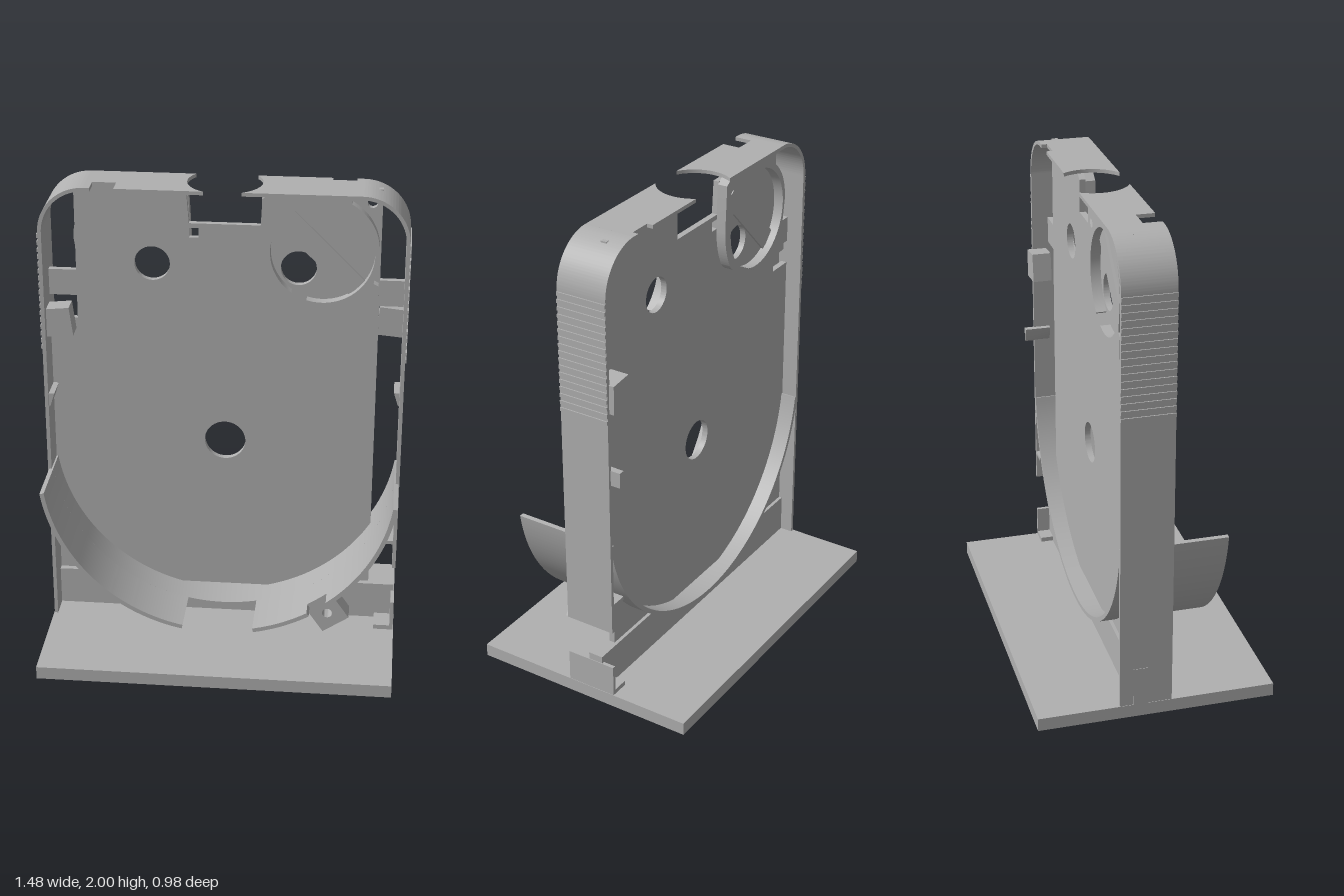
import * as THREE from 'three';
import { toCreasedNormals } from 'three/addons/utils/BufferGeometryUtils.js';

const BACK = -0.155, FRONT = 0.06;           // depth of the enclosure
const P0 = -0.086, P1 = -0.061;              // depth of the centre panel
const PIVOT = (P0 + P1) / 2;
const CY = 0.87, R = 0.737;                  // drum centre height and radius

export function createModel() {
  const model = new THREE.Group();
  model.name = 'openEnclosureOnStand';
  const plastic = new THREE.MeshStandardMaterial({ color: 0xb0b0b0 });
  plastic.name = 'grey plastic';

  const add = (name, geo, parent = model) => {
    const mesh = new THREE.Mesh(geo, plastic);
    mesh.name = name;
    parent.add(mesh);
    return mesh;
  };
  const box = (name, x0, x1, y0, y1, z0, z1, parent) => {
    const g = new THREE.BoxGeometry(x1 - x0, y1 - y0, z1 - z0);
    g.translate((x0 + x1) / 2, (y0 + y1) / 2, (z0 + z1) / 2);
    return add(name, g, parent);
  };
  const poly = (pts) => new THREE.Shape(pts.map(([x, y]) => new THREE.Vector2(x, y)));
  const hole = (x, y, r) => new THREE.Path().absarc(x, y, r, 0, Math.PI * 2, true);
  const slab = (name, shape, z0, z1, parent) => {
    const g = new THREE.ExtrudeGeometry(shape, { depth: z1 - z0, bevelEnabled: false, curveSegments: 40 });
    g.translate(0, 0, z0);
    return add(name, toCreasedNormals(g, 0.5), parent);
  };
  const ringSector = (x, y, r0, r1, a0, a1) => {
    const s = new THREE.Shape();
    s.absarc(x, y, r1, a0, a1, false);
    s.absarc(x, y, r0, a1, a0, true);
    s.closePath();
    return s;
  };

  // Base plate and the upright that carries the panel
  box('basePlate', -0.735, 0.735, 0, 0.055, -0.49, 0.49);
  const a = Math.asin((0.22 - CY) / R);
  const upright = new THREE.Shape();
  upright.moveTo(-0.735, 0.055);
  upright.lineTo(0.73, 0.055);
  upright.lineTo(0.73, 0.22);
  upright.lineTo(R * Math.cos(a), 0.22);
  upright.absarc(0, CY, R - 0.005, a, -Math.PI - a, true);
  upright.lineTo(-0.735, 0.22);
  upright.closePath();
  slab('upright', upright, -0.1, -0.037);
  box('endPlate', 0.718, 0.733, 0.055, 0.19, BACK, FRONT);
  box('endFoot', 0.65, 0.72, 0.055, 0.075, BACK, FRONT);

  // Centre panel with its openings
  const panel = poly([
    [-0.725, 0.2], [0.62, 0.2], [0.62, 1.99], [0.2, 1.99], [0.145, 1.96], [0.145, 1.825],
    [-0.145, 1.825], [-0.155, 1.96], [-0.195, 1.96], [-0.195, 1.99], [-0.605, 1.99],
    [-0.605, 1.4], [-0.725, 1.4],
  ]);
  panel.holes.push(hole(0, CY, 0.085), hole(-0.295, 1.65, 0.072), hole(0.295, 1.65, 0.072),
    hole(0.58, 1.933, 0.02));
  panel.holes.push(new THREE.Path([[-0.145, 1.765], [-0.145, 1.805], [-0.107, 1.805], [-0.107, 1.765]]
    .map(([x, y]) => new THREE.Vector2(x, y))));
  slab('centrePanel', panel, P0, P1);
  box('panelFoot', -0.21, 0.21, 0.175, 0.2, P0, P1);
  for (const s of [-1, 1]) {
    // Panel below the drum at each side of the bottom opening
    const foot = poly([[s * 0.2, 0.2], [s * 0.2, 0.155], [s * 0.4, 0.2]]);
    slab('panelFootCorner', foot, P0, P1);
  }

  // Rim: side walls, rounded corners
  box('leftSideWall', 0.718, 0.733, 0.36, 1.81, BACK, FRONT);
  box('rightSideWall', -0.733, -0.718, 0.055, 1.81, BACK, FRONT);
  slab('leftCorner', ringSector(0.543, 1.81, 0.175, 0.19, 0, Math.PI / 2), BACK, FRONT);
  slab('rightCorner', ringSector(-0.543, 1.81, 0.175, 0.19, Math.PI / 2, Math.PI), BACK, FRONT);

  // Top strips with a round finger opening between them and one notch each
  const topStrip = (name, s, notch) => {
    const edge = [];
    for (let i = 0; i <= 16; i++) {
      const z = BACK + (FRONT - BACK) * i / 16;
      edge.push([s * Math.sqrt(0.0225 - (z + 0.07) ** 2), z]);
    }
    const pts = [...edge, ...(notch > 0 ? [[s * 0.425, FRONT], [s * 0.425, -0.015], [s * 0.52, -0.015], [s * 0.52, FRONT]] : []),
      [s * 0.545, FRONT], [s * 0.545, BACK],
      ...(notch < 0 ? [[s * 0.515, BACK], [s * 0.515, -0.13], [s * 0.42, -0.13], [s * 0.42, BACK]] : [])];
    const strip = slab(name, poly(pts), 0, 0.015);
    strip.geometry.rotateX(Math.PI / 2);
    strip.position.y = 2;
  };
  topStrip('topStripRight', -1, 1);
  topStrip('topStripLeft', 1, -1);

  // Grip ribs on both sides
  for (const s of [-1, 1]) {
    for (let i = 0; i < 17; i++) {
      const y = 1.315 + i * 0.03, x = s * 0.734;
      box('gripRib', x - 0.004, x + 0.004, y - 0.008, y + 0.008, BACK, FRONT);
    }
  }

  // Drum wall inside the enclosure and the two scoops in front of it
  const arc = (a0, a1) => ringSector(0, CY, R - 0.018, R, a0, a1);
  const lo = Math.PI + 0.15, hi = Math.PI * 2 - 0.15, mid = Math.PI * 1.5;
  slab('drumWall', arc(lo, hi), BACK, FRONT);
  slab('rightScoop', arc(lo, mid - 0.205), FRONT, 0.283);
  const n0 = Math.PI * 2 - 1.027, n1 = Math.PI * 2 - 0.894;
  slab('leftScoopLower', arc(mid + 0.205, n0), FRONT, 0.283);
  slab('leftScoopNotch', arc(n0, n1), FRONT, 0.21);
  slab('leftScoopUpper', arc(n1, hi), FRONT, 0.283);

  // Screw block beneath the left scoop
  const screwBlock = poly([[-0.065, -0.065], [0.065, -0.065], [0.065, 0.065], [-0.065, 0.065]]);
  screwBlock.holes.push(hole(0, 0, 0.021));
  const block = slab('screwBlock', screwBlock, 0.12, 0.21);
  block.position.set(0.455, 0.215, 0);
  block.rotation.z = 0.6;

  // Small inside shelf and panel tabs
  box('wallShelf', 0.65, 0.722, 0.475, 0.49, BACK, FRONT);
  box('leftTab', 0.615, 0.722, 1.5, 1.61, P0, P1);
  box('rightTab', -0.722, -0.6, 1.5, 1.61, P0, P1);

  // Fittings that repeat on the back, turned half round
  const fittings = (name) => {
    const g = new THREE.Group();
    g.name = name;
    const fx = 0.39, fy = 1.73, fr = 0.22;
    const ring = new THREE.Shape();
    ring.moveTo(0.265, 1.555);
    ring.quadraticCurveTo(0.2, 1.56, 0.178, 1.6);
    ring.quadraticCurveTo(0.14, 1.67, 0.14, 1.76);
    ring.lineTo(0.15, 1.95);
    ring.lineTo(0.2, 1.985);
    ring.lineTo(0.5, 1.985);
    ring.lineTo(0.5, 1.94);
    ring.quadraticCurveTo(0.615, 1.87, 0.615, 1.74);
    ring.lineTo(0.595, 1.61);
    ring.lineTo(0.615, 1.6);
    ring.lineTo(0.615, 1.51);
    ring.lineTo(0.4, 1.492);
    ring.lineTo(0.33, 1.53);
    const b0 = Math.atan2(1.53 - fy, 0.33 - fx), b1 = Math.atan2(1.555 - fy, 0.265 - fx);
    ring.absarc(fx, fy, fr - 0.012, b0, b1, false);
    ring.closePath();
    ring.holes.push(hole(0.2, 1.9, 0.018), hole(0.545, 1.55, 0.018));
    slab('fanMount', ring, P1 - 0.002, -0.02, g);
    slab('diagonalStrap', poly([[0.2, 1.845], [0.5, 1.545], [0.56, 1.61], [0.265, 1.905]]), P1 - 0.002, -0.05, g);
    // Clip block and catch on the opposite wall
    const clip = poly([[-0.722, 1.35], [-0.61, 1.36], [-0.625, 1.48], [-0.722, 1.47]]);
    slab('clipBlock', clip, -0.05, 0.03, g);
    slab('wallCatch', poly([[-0.722, 1.04], [-0.712, 1.05], [-0.695, 1.105], [-0.722, 1.105]]), -0.06, 0.05, g);
    model.add(g);
    return g;
  };
  fittings('frontFittings');
  const rear = fittings('backFittings');
  rear.rotation.y = Math.PI;
  rear.position.z = 2 * PIVOT;

  return model;
}
